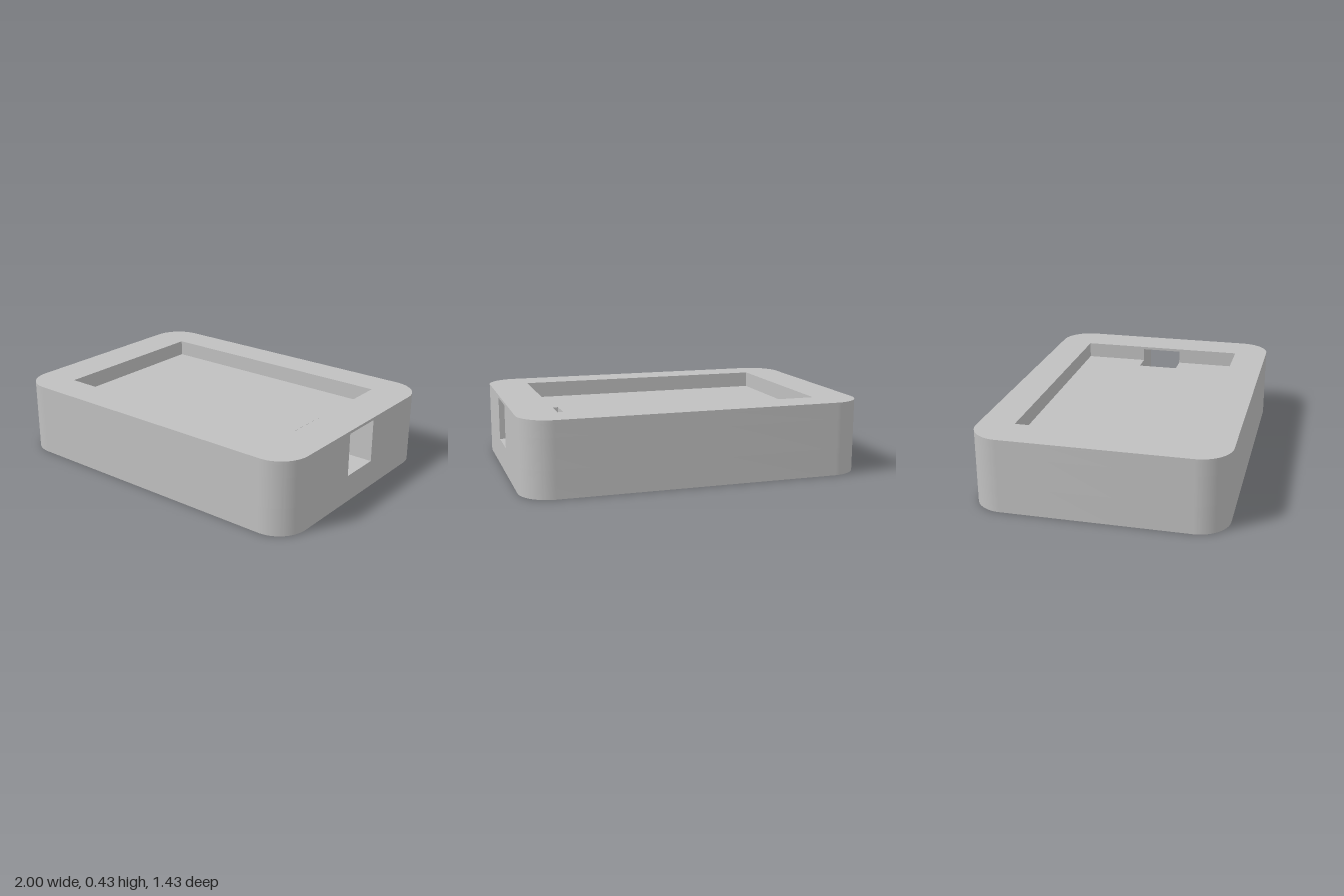
import * as THREE from 'three';
import { toCreasedNormals } from 'three/addons/utils/BufferGeometryUtils.js';

const W = 1, D = 0.714, R = 0.18;            // half width, half depth, corner radius
const PX = 0.764, PZ = 0.51;                 // pocket half sizes
const SX = 0.64, SZ = 0.125;                 // port inner end and half width
const Y = [0, 0.16, 0.335, 0.414, 0.43];     // base, port floor, pocket floor, port roof, rim

// Rounded outline; the optional cut points are inserted in the middle of the right side.
function outline(cut = []) {
  const s = new THREE.Shape();
  s.moveTo(W, -D + R);
  cut.forEach(([x, y]) => s.lineTo(x, y));
  s.lineTo(W, D - R);
  s.absarc(W - R, D - R, R, 0, Math.PI / 2);
  s.absarc(-W + R, D - R, R, Math.PI / 2, Math.PI);
  s.absarc(-W + R, -D + R, R, Math.PI, Math.PI * 1.5);
  s.absarc(W - R, -D + R, R, Math.PI * 1.5, Math.PI * 2);
  return s;
}

export function createModel() {
  const group = new THREE.Group();
  group.name = 'enclosure';
  const grey = new THREE.MeshStandardMaterial({ color: 0xc0c0c0 });
  grey.name = 'light grey';

  const layer = (name, shape, y0, y1) => {
    const geo = new THREE.ExtrudeGeometry(shape, { depth: y1 - y0, bevelEnabled: false, curveSegments: 16 });
    geo.rotateX(-Math.PI / 2).translate(0, y0, 0);
    const mesh = new THREE.Mesh(toCreasedNormals(geo, 0.5), grey);
    mesh.name = name;
    group.add(mesh);
  };

  // Solid base below the port
  layer('base', outline(), Y[0], Y[1]);

  // Pocket floor block, notched where the port runs in
  layer('pocketFloor', outline([[W, -SZ], [SX, -SZ], [SX, SZ], [W, SZ]]), Y[1], Y[2]);

  // Pocket walls, with the port cut through the right wall
  layer('pocketWalls', outline([
    [W, -SZ], [PX, -SZ], [PX, -PZ], [-PX, -PZ], [-PX, PZ], [PX, PZ], [PX, SZ], [W, SZ],
  ]), Y[2], Y[3]);

  // Closed rim that bridges the port
  const rim = outline();
  rim.holes.push(new THREE.Path([[-PX, -PZ], [-PX, PZ], [PX, PZ], [PX, -PZ]].map(p => new THREE.Vector2(...p))));
  layer('rim', rim, Y[3], Y[4]);

  return group;
}
